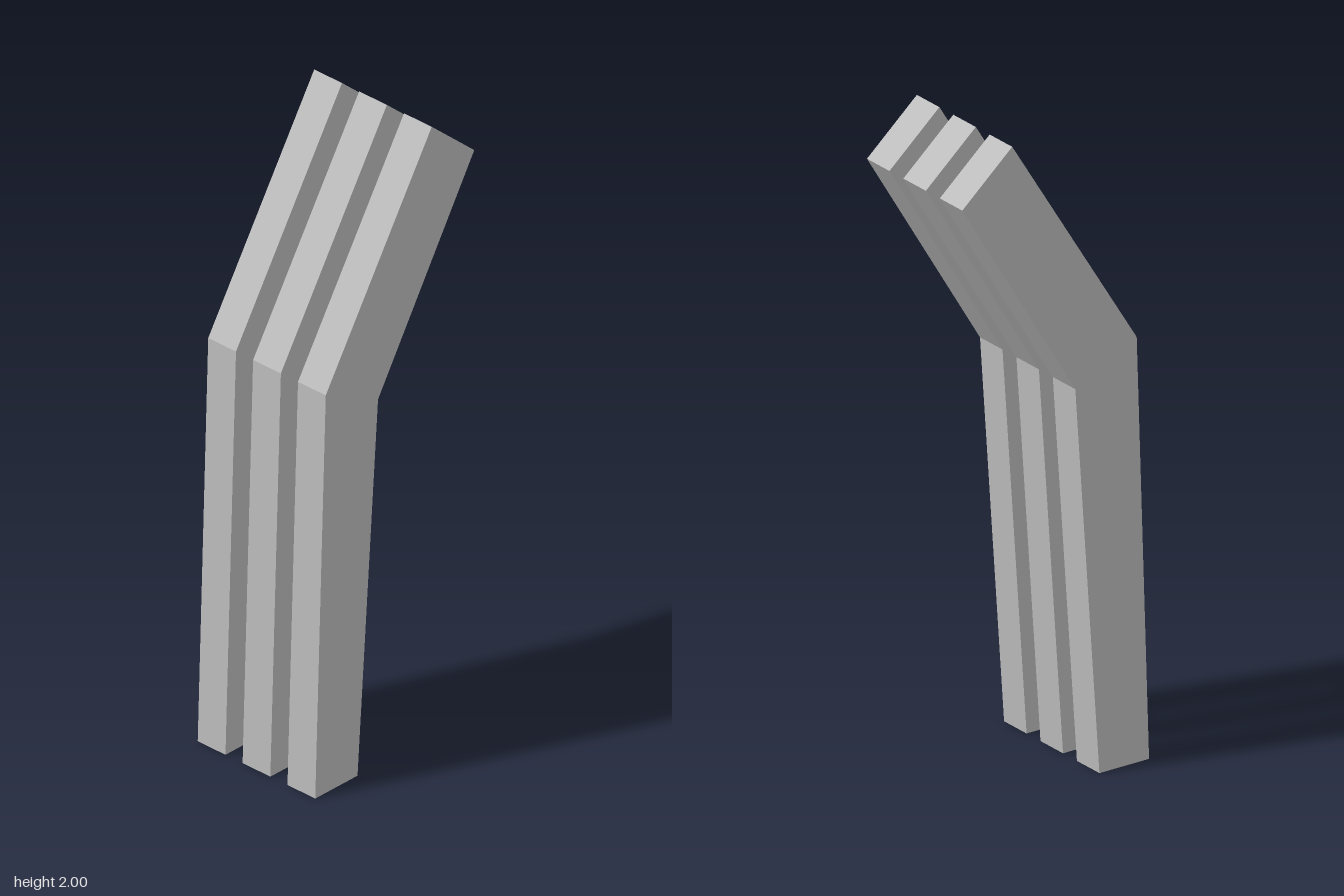
import * as THREE from 'three';

export function createModel() {
  const group = new THREE.Group();
  group.name = 'bentSlats';
  const grey = new THREE.MeshStandardMaterial({ color: 0xbcbcbc });
  grey.name = 'grey';

  // Bent side profile shared by all slats
  const profile = new THREE.Shape([
    [-0.326, 0], [-0.153, 0], [-0.069, 1.2],
    [0.325, 1.848], [0.151, 2], [-0.283, 1.306],
  ].map(([x, y]) => new THREE.Vector2(x, y)));

  const width = 0.108;
  const geometry = new THREE.ExtrudeGeometry(profile, { depth: width, bevelEnabled: false });
  geometry.translate(0, 0, -width / 2);

  // Three parallel slats, evenly spaced front to back
  ['backSlat', 'middleSlat', 'frontSlat'].forEach((name, i) => {
    const slat = new THREE.Mesh(geometry, grey);
    slat.name = name;
    slat.position.z = (i - 1) * 0.1745;
    group.add(slat);
  });
  return group;
}
